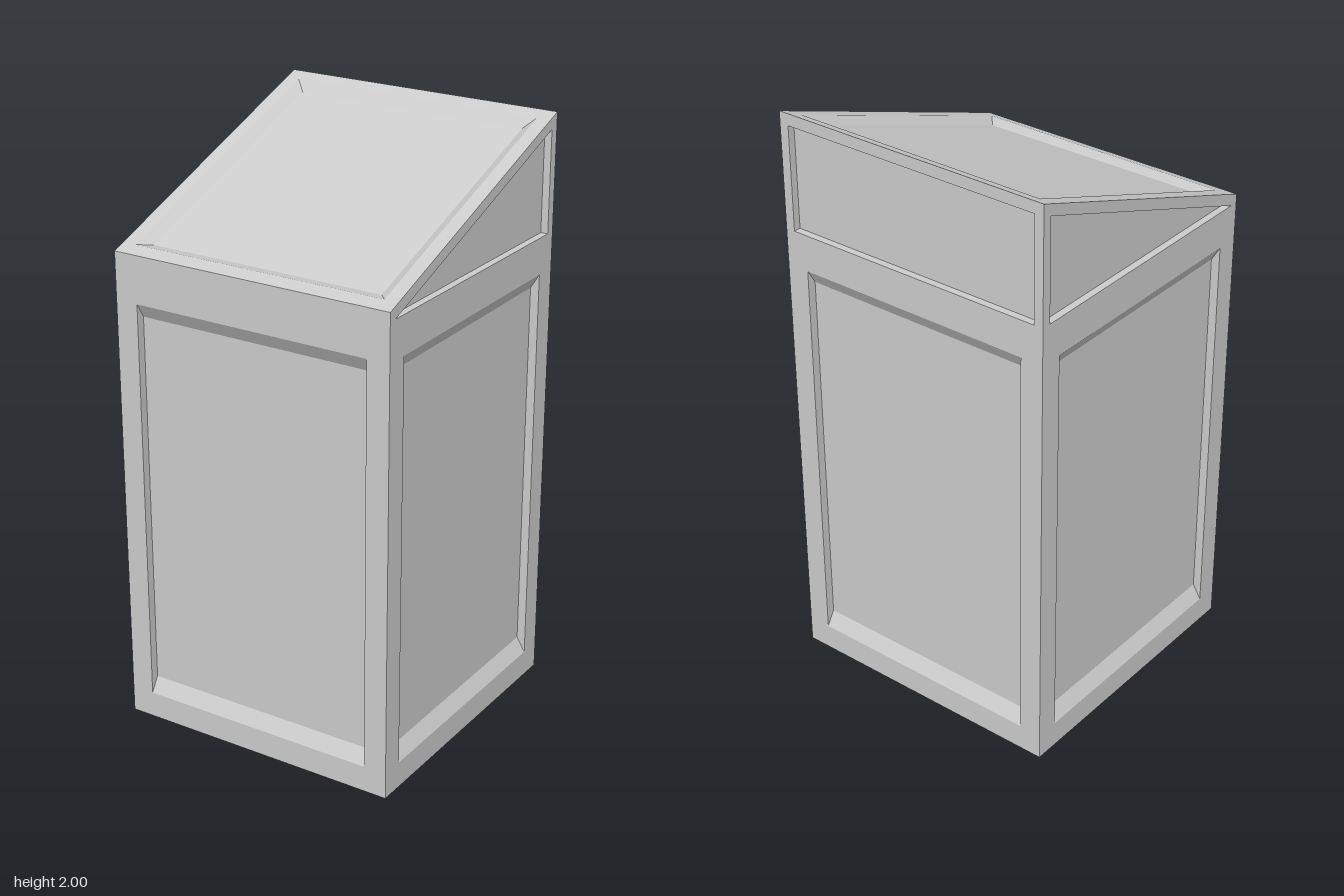
import * as THREE from 'three';

const FRONT_H = 1.64, BACK_H = 2, HALF = 0.5;
const material = new THREE.MeshStandardMaterial({ color: 0xcccccc, flatShading: true });

const toPoints = (list) => list.map(([x, y]) => new THREE.Vector2(x, y));
// Counter-clockwise rectangle
const rect = (w, y0, y1) => [[-w, y0], [w, y0], [w, y1], [-w, y1]];
// Flip an outline in x, keeping it counter-clockwise
const mirror = (list) => list.map(([x, y]) => [-x, y]).reverse();

// Recess walls joining the opening to the (smaller or equal) sunken floor
function wallGeometry(outer, inner, depth) {
  const pos = [];
  outer.forEach(([ax, ay], i) => {
    const j = (i + 1) % outer.length;
    const [bx, by] = outer[j], [cx, cy] = inner[j], [dx, dy] = inner[i];
    pos.push(ax, ay, 0, bx, by, 0, cx, cy, -depth);
    pos.push(ax, ay, 0, cx, cy, -depth, dx, dy, -depth);
  });
  const g = new THREE.BufferGeometry();
  g.setAttribute('position', new THREE.Float32BufferAttribute(pos, 3));
  g.computeVertexNormals();
  return g;
}

// One face of the cabinet, facing local +z, with sunken panels
function panelledFace(name, outline, panels) {
  const group = new THREE.Group();
  group.name = name;
  const add = (geometry, part) => {
    const mesh = new THREE.Mesh(geometry, material);
    mesh.name = part;
    group.add(mesh);
    return mesh;
  };
  const shape = new THREE.Shape(toPoints(outline));
  for (const { outer, inner = outer, depth } of panels) {
    shape.holes.push(new THREE.Path(toPoints(outer)));
    add(wallGeometry(outer, inner, depth), 'panelEdge');
    add(new THREE.ShapeGeometry(new THREE.Shape(toPoints(inner))), 'panel').position.z = -depth;
  }
  add(new THREE.ShapeGeometry(shape), 'frame');
  return group;
}

export function createModel() {
  const model = new THREE.Group();
  model.name = 'lectern';

  // Tall panel with bevelled top and bottom, shared by all four sides
  const tall = { outer: rect(0.42, 0.09, 1.48), inner: rect(0.42, 0.14, 1.43), depth: 0.03 };

  // Front
  const front = panelledFace('front', rect(HALF, 0, FRONT_H), [tall]);
  front.position.z = HALF;

  // Back, with a second low panel above
  const back = panelledFace('back', rect(HALF, 0, BACK_H),
    [tall, { outer: rect(0.467, 1.605, 1.96), depth: 0.025 }]);
  back.position.z = -HALF;
  back.rotation.y = Math.PI;

  // Sides, with a triangular panel under the slope
  const sideOutline = [[-HALF, 0], [HALF, 0], [HALF, BACK_H], [-HALF, FRONT_H]];
  const triangle = [[-0.472, 1.61], [0.467, 1.605], [0.467, 1.95]];
  const left = panelledFace('leftSide', sideOutline, [tall, { outer: triangle, depth: 0.025 }]);
  left.position.x = HALF;
  left.rotation.y = Math.PI / 2;
  const right = panelledFace('rightSide', mirror(sideOutline),
    [tall, { outer: mirror(triangle), depth: 0.025 }]);
  right.position.x = -HALF;
  right.rotation.y = -Math.PI / 2;

  // Sloping reading surface with a shallow bevelled recess
  const slope = Math.atan(BACK_H - FRONT_H);
  const halfLength = HALF / Math.cos(slope);
  const opening = 0.455 / Math.cos(slope);
  const floor = opening - 0.04;
  const top = panelledFace('readingSurface', rect(HALF, -halfLength, halfLength),
    [{ outer: rect(0.452, -opening, opening), inner: rect(0.415, -floor, floor), depth: 0.022 }]);
  top.position.y = (FRONT_H + BACK_H) / 2;
  top.rotation.x = slope - Math.PI / 2;

  // Underside
  const base = new THREE.Mesh(new THREE.PlaneGeometry(1, 1), material);
  base.name = 'base';
  base.rotation.x = Math.PI / 2;

  model.add(front, back, left, right, top, base);
  return model;
}
